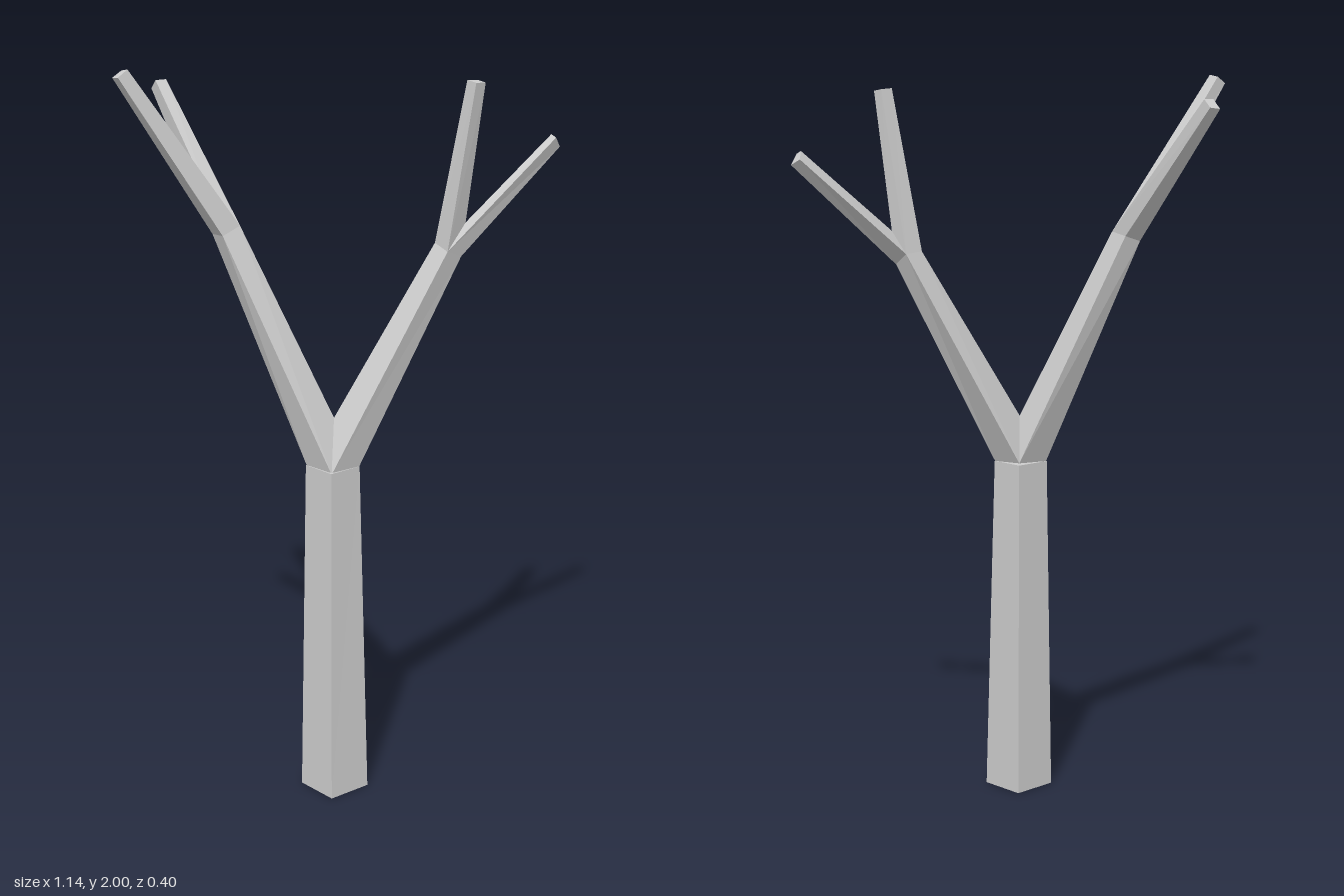
import * as THREE from 'three';

const V = (x, y, z) => new THREE.Vector3(x, y, z);

// Four-sided limb between two matching rings of corners, optionally capped
function limb(name, material, start, end, capStart, capEnd) {
  const mid = r => r.reduce((s, p) => s.add(p), V(0, 0, 0)).divideScalar(r.length);
  const axis = mid(end).sub(mid(start));
  const turn = start[2].clone().sub(start[0]).cross(start[3].clone().sub(start[1]));
  const a = start.slice(), b = end.slice();
  if (turn.dot(axis) < 0) { a.reverse(); b.reverse(); }
  const pos = [];
  const quad = (p, q, r, s) => [p, q, r, p, r, s].forEach(v => pos.push(v.x, v.y, v.z));
  for (let i = 0; i < 4; i++) {
    const j = (i + 1) % 4;
    quad(a[i], a[j], b[j], b[i]);
  }
  if (capStart) quad(a[3], a[2], a[1], a[0]);
  if (capEnd) quad(b[0], b[1], b[2], b[3]);
  const g = new THREE.BufferGeometry();
  g.setAttribute('position', new THREE.Float32BufferAttribute(pos, 3));
  g.computeVertexNormals();
  const m = new THREE.Mesh(g, material);
  m.name = name;
  return m;
}

// Small square ring at a twig's tip, aligned with the ring at its base
function tipRing(base, tip, radius) {
  const c = base.reduce((s, p) => s.add(p), V(0, 0, 0)).divideScalar(4);
  const axis = tip.clone().sub(c).normalize();
  return base.map(p => p.clone().sub(c).projectOnPlane(axis).setLength(radius).add(tip));
}

export function createModel() {
  const tree = new THREE.Group();
  tree.name = 'bareTree';
  const bark = new THREE.MeshStandardMaterial({ color: 0xcccccc, flatShading: true });
  bark.name = 'greyBark';

  // Trunk: tapered square turned by 45 degrees
  tree.add(limb('trunk', bark,
    [V(-0.105, 0, 0.11), V(-0.013, 0, 0.2), V(0.08, 0, 0.11), V(-0.013, 0, 0.02)],
    [V(-0.09, 0.94, 0.1), V(-0.015, 0.94, 0.173), V(0.055, 0.94, 0.1), V(-0.015, 0.94, 0.028)],
    true, true));

  // Main fork, both branches share front, back and crotch corners
  const front = V(-0.015, 0.935, 0.163), back = V(-0.015, 0.945, 0.035), crotch = V(-0.015, 1.07, 0.085);

  const right = {
    outer: V(-0.34, 1.555, 0.04), front: V(-0.305, 1.56, 0.093),
    inner: V(-0.265, 1.58, 0.05), back: V(-0.3, 1.57, 0.013), crotch: V(-0.345, 1.65, 0.04),
  };
  const left = {
    outer: V(0.315, 1.495, -0.01), front: V(0.28, 1.515, 0.03),
    inner: V(0.245, 1.53, -0.013), back: V(0.285, 1.525, -0.045), crotch: V(0.325, 1.585, -0.015),
  };
  const ends = b => [b.outer, b.front, b.inner, b.back];
  tree.add(limb('rightBranch', bark, [V(-0.088, 0.94, 0.1), front, crotch, back], ends(right)));
  tree.add(limb('leftBranch', bark, [V(0.054, 0.94, 0.1), front, crotch, back], ends(left)));

  // Twigs: base ring and tip centre
  const twigs = [
    ['rightFrontTwig', [right.outer, right.front, right.inner, right.crotch], V(-0.55, 1.985, 0.165)],
    ['rightBackTwig', [right.outer, right.back, right.inner, right.crotch], V(-0.512, 1.92, -0.183)],
    ['leftInnerTwig', [left.inner, left.front, left.crotch, left.back], V(0.347, 1.957, 0.01)],
    ['leftOuterTwig', [left.outer, left.front, left.crotch, left.back], V(0.555, 1.782, -0.17)],
  ];
  for (const [name, base, tip] of twigs) {
    tree.add(limb(name, bark, base, tipRing(base, tip, 0.024), false, true));
  }
  return tree;
}
